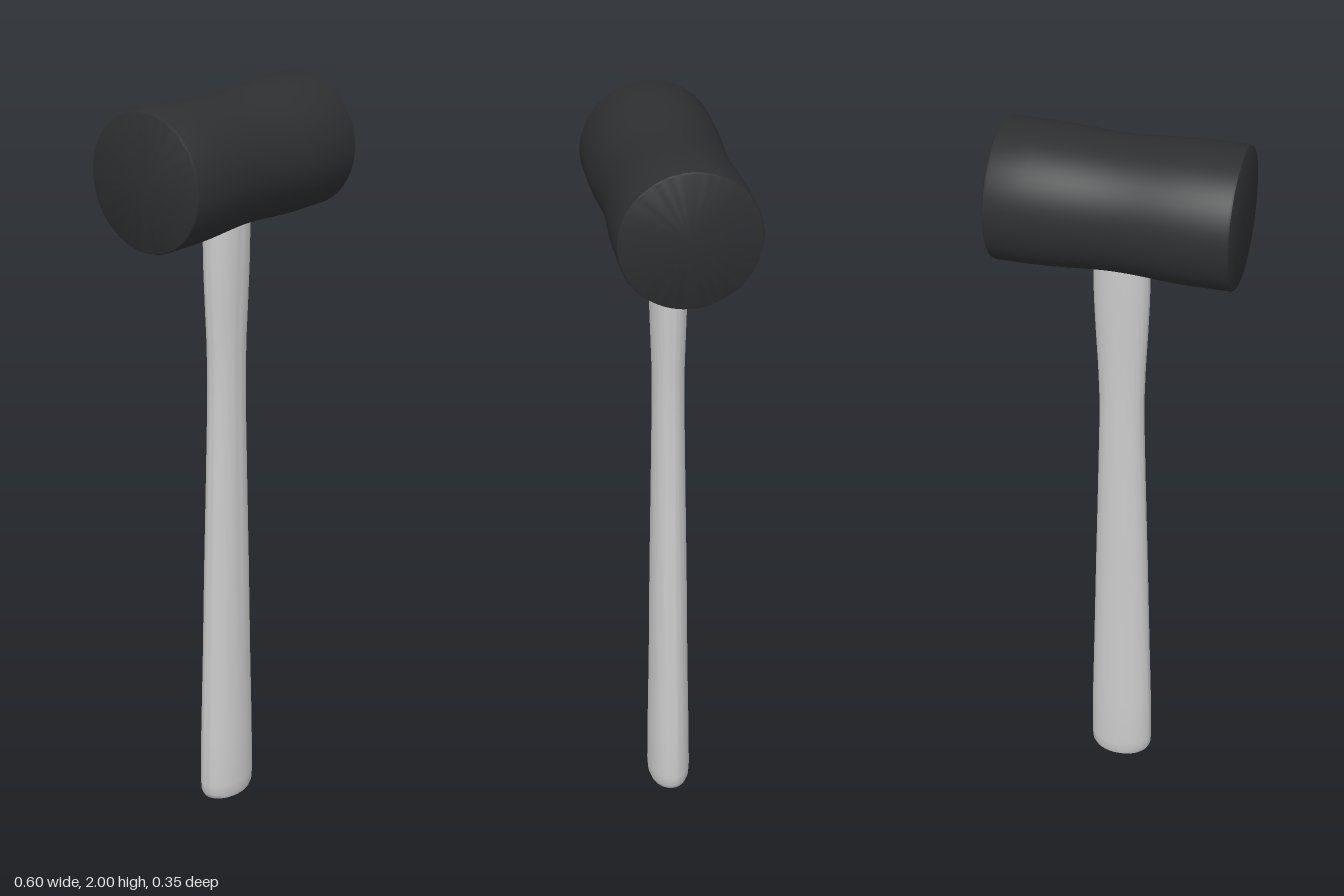
import * as THREE from 'three';
import { toCreasedNormals } from 'three/addons/utils/BufferGeometryUtils.js';

// Smooth lathe with crisp edges; the optional depth list gives each profile row its own z radius
function turned(profile, segments, depths) {
  const points = profile.map(([r, y]) => new THREE.Vector2(r, y));
  const geometry = new THREE.LatheGeometry(points, segments);
  if (depths) {
    const pos = geometry.attributes.position;
    for (let i = 0; i < pos.count; i++) {
      const row = i % profile.length;
      const r = profile[row][0];
      if (r > 0) pos.setZ(i, pos.getZ(i) * depths[row] / r);
    }
  }
  return toCreasedNormals(geometry, 0.6);
}

export function createModel() {
  const model = new THREE.Group();
  const wood = new THREE.MeshStandardMaterial({ color: 0xcccccc });
  const rubber = new THREE.MeshStandardMaterial({ color: 0x2e2f31 });

  // Oval handle: [half width, half depth, height], swelling at the grip and under the head
  const sections = [
    [0.068, 0.043, 0], [0.078, 0.052, 0.006], [0.085, 0.057, 0.02], [0.087, 0.059, 0.05],
    [0.085, 0.057, 0.2], [0.079, 0.053, 0.42], [0.072, 0.05, 0.7], [0.065, 0.046, 0.95],
    [0.06, 0.043, 1.15], [0.059, 0.042, 1.25], [0.062, 0.042, 1.35], [0.067, 0.045, 1.45],
    [0.071, 0.048, 1.55], [0.072, 0.05, 1.65], [0.072, 0.05, 1.8],
  ];
  const profile = [[0, 0], ...sections.map(([w, , y]) => [w, y]), [0, 1.8]];
  const depths = [0, ...sections.map((s) => s[1]), 0];
  const handle = new THREE.Mesh(turned(profile, 48, depths), wood);
  handle.name = 'handle';
  model.add(handle);

  // Cylindrical head lying along x, with rounded rims and a gentle waist
  const headProfile = [[0, -0.298], [0.169, -0.298], [0.173, -0.296], [0.175, -0.29]];
  for (let i = 0; i <= 20; i++) {
    const x = -0.2 + 0.02 * i;
    headProfile.push([0.175 - 0.0045 * (1 + Math.cos((Math.PI * x) / 0.2)), x]);
  }
  headProfile.push([0.175, 0.29], [0.173, 0.296], [0.169, 0.298], [0, 0.298]);
  const head = new THREE.Mesh(turned(headProfile, 64), rubber);
  head.name = 'head';
  head.rotation.z = -Math.PI / 2;
  head.position.y = 1.825;
  model.add(head);

  return model;
}
